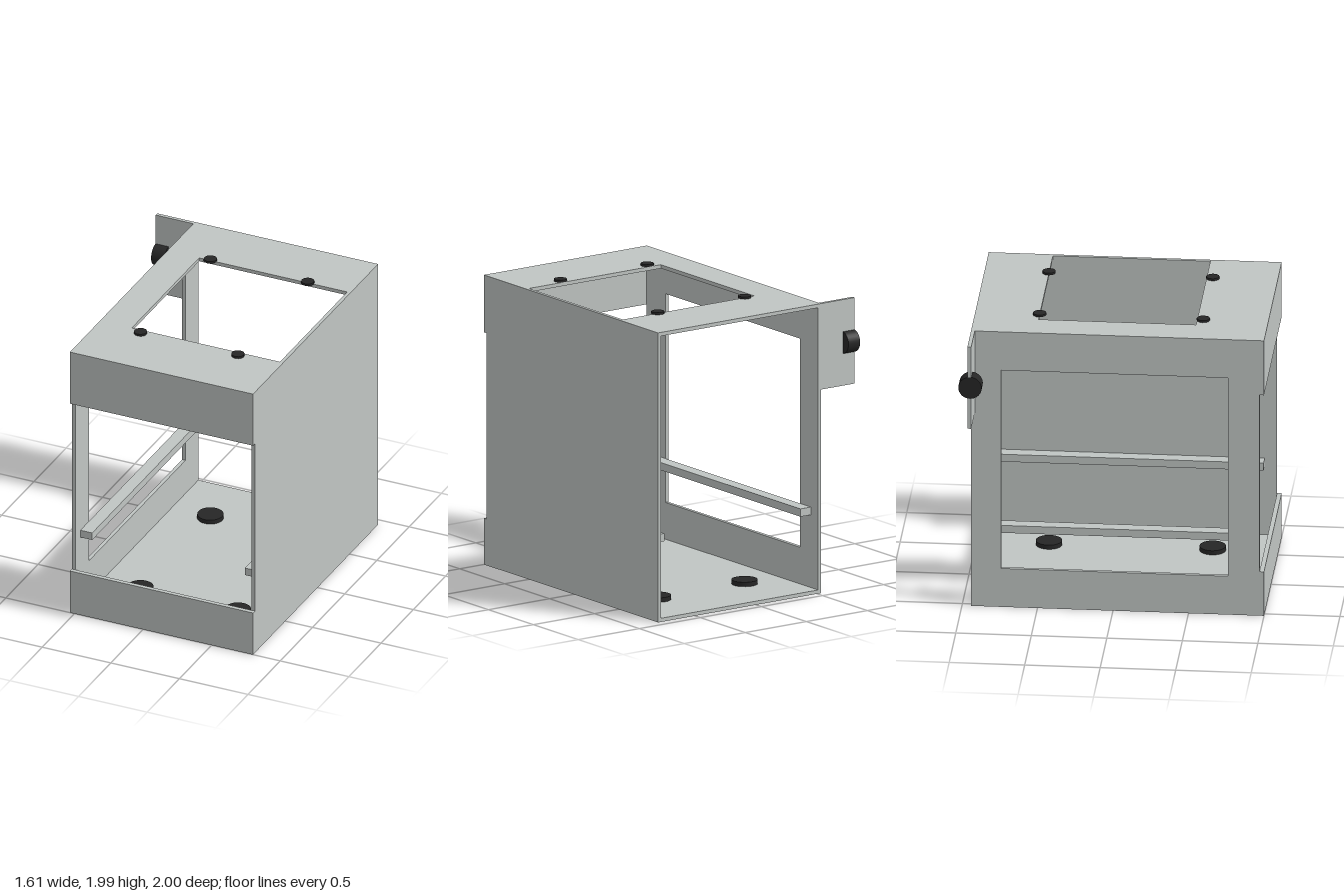
import * as THREE from 'three';

export function createModel() {
  const model = new THREE.Group();
  const panelGrey = new THREE.MeshStandardMaterial({ color: 0xc0c5c3 });
  panelGrey.name = 'panelGrey';
  const rubberBlack = new THREE.MeshStandardMaterial({ color: 0x262626 });
  rubberBlack.name = 'rubberBlack';

  const add = (name, geometry, material) => {
    const mesh = new THREE.Mesh(geometry, material);
    mesh.name = name;
    model.add(mesh);
    return mesh;
  };
  // Box given by its limits on each axis
  const box = (name, [x0, x1], [y0, y1], [z0, z1]) =>
    add(name, new THREE.BoxGeometry(x1 - x0, y1 - y0, z1 - z0), panelGrey)
      .position.set((x0 + x1) / 2, (y0 + y1) / 2, (z0 + z1) / 2);
  // Flat plate with a rectangular opening, extruded along +z
  const frame = ([u0, u1], [v0, v1], [a0, a1], [b0, b1], depth) => {
    const rect = (p, l, r, b, t) => p.moveTo(l, b).lineTo(r, b).lineTo(r, t).lineTo(l, t).closePath();
    const shape = rect(new THREE.Shape(), u0, u1, v0, v1);
    shape.holes.push(rect(new THREE.Path(), a0, a1, b0, b1));
    return new THREE.ExtrudeGeometry(shape, { depth, bevelEnabled: false });
  };
  const disc = (name, radius, height, sides, x, y, z) => {
    const mesh = add(name, new THREE.CylinderGeometry(radius, radius, height, sides), rubberBlack);
    mesh.position.set(x, y, z);
    return mesh;
  };

  const T = 0.025, L = -0.533, R = 0.802, H = 1.97, B = -0.94, F = 0.97;

  // Cabinet shell, open at the back
  box('floor', [L, R], [0, T], [B, F]);
  box('solidSideWall', [R - T, R], [T, H - T], [B, F]);

  // Side wall with a large window: plate drawn in (-z, y), turned to face x
  const sideFrame = frame([-F, -B], [T, H - T], [-0.76, 0.74], [0.275, 1.695], T);
  sideFrame.rotateY(Math.PI / 2);
  add('windowSideWall', sideFrame, panelGrey).position.x = L;

  // Top with a rectangular opening: plate drawn in (x, -z), laid flat
  const topFrame = frame([L, R], [-F, -B], [-0.302, R - T], [-0.53, 0.513], T);
  topFrame.rotateX(-Math.PI / 2);
  add('topPanel', topFrame, panelGrey).position.y = H - T;

  // Front strips
  box('upperFrontPanel', [L, R], [1.58, H], [F, 1]);
  box('lowerFrontPanel', [L, R], [0, 0.315], [F, 1]);

  // Shelf rails on the inside of both walls
  box('railLeft', [R - T - 0.086, R - T], [0.52, 0.573], [-0.86, 0.89]);
  box('railRight', [L + T, L + T + 0.086], [0.52, 0.573], [-0.86, 0.89]);

  // Tab at the back corner with its roller
  box('backTab', [-0.808, L], [1.385, H], [B, B + T]);
  disc('tabRoller', 0.077, 0.095, 32, -0.761, 1.677, -0.923).rotation.z = Math.PI / 2;

  // Four small pads on top, four wide ones on the floor
  for (const x of [-0.22, 0.49]) {
    for (const z of [-0.513, 0.571]) {
      disc('topPad', 0.044, 0.015, 12, x, H + 0.0075, z);
      disc('floorPad', 0.087, 0.03, 24, x, T + 0.015, z);
    }
  }
  return model;
}
